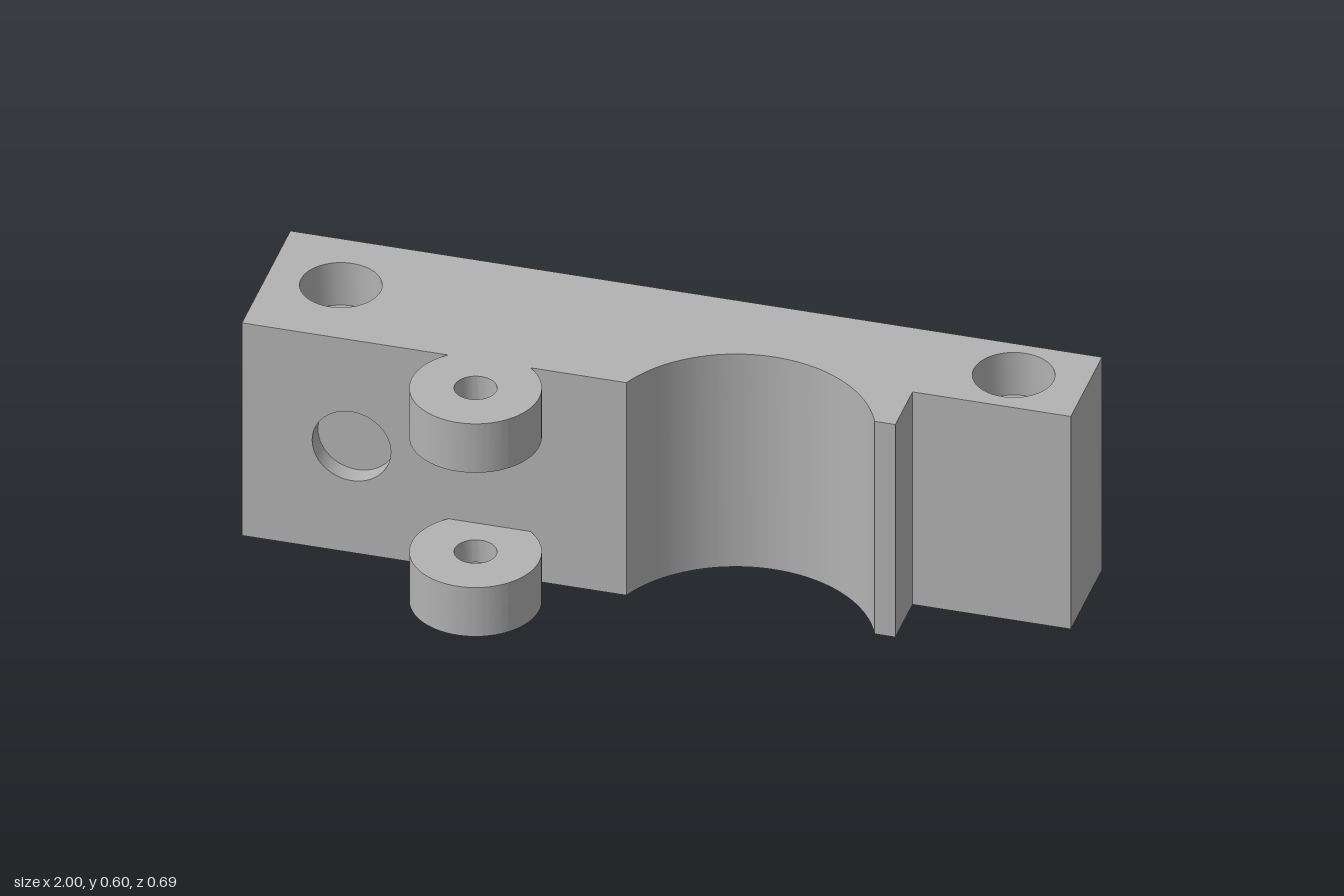
import * as THREE from 'three';
import { toCreasedNormals } from 'three/addons/utils/BufferGeometryUtils.js';

const H = 0.6, BACK = -0.347, FRONT = 0.07, STEP = -0.078;
const BORE_DEPTH = 0.12, POCKET = 0.05, POCKET_EDGE = -0.6;
const LUG = { x: -0.39, z: 0.19, r: 0.157, h: 0.138 };
const SCREWS = [[-0.82, -0.153], [0.82, -0.215]];

// Adds a circular hole (or a polygon when sides is given) to a shape
function addHole(shape, x, y, r, sides = 48) {
  const pts = [];
  for (let i = 0; i < sides; i++) {
    const a = -i / sides * Math.PI * 2;
    pts.push(new THREE.Vector2(x + r * Math.cos(a), y + r * Math.sin(a)));
  }
  shape.holes.push(new THREE.Path(pts));
}

function extrude(shape, depth) {
  return new THREE.ExtrudeGeometry(shape, { depth, bevelEnabled: false, curveSegments: 48 });
}

// Plan outlines are drawn with shape y = -z and raised from y0 to y1
function slab(name, shape, y0, y1, material) {
  const g = extrude(shape, y1 - y0).rotateX(-Math.PI / 2).translate(0, y0, 0);
  const mesh = new THREE.Mesh(toCreasedNormals(g, 0.5), material);
  mesh.name = name;
  return mesh;
}

// Stepped block outline with the round saddle and a gap for the pocket plate
function bodyShape(holeRadius) {
  const cx = 0.253, cz = 0.197, r = 0.331;
  const a = Math.asin((cz - FRONT) / r);
  const s = new THREE.Shape();
  s.moveTo(-1, -BACK);
  s.lineTo(-1, POCKET - FRONT);
  s.lineTo(POCKET_EDGE, POCKET - FRONT);
  s.lineTo(POCKET_EDGE, -FRONT);
  s.lineTo(cx - r * Math.cos(a), -FRONT);
  s.absarc(cx, -cz, r, Math.PI - a, a, true);
  s.lineTo(0.61, -FRONT);
  s.lineTo(0.61, -STEP);
  s.lineTo(1, -STEP);
  s.lineTo(1, -BACK);
  for (const [x, z] of SCREWS) addHole(s, x, -z, holeRadius);
  return s;
}

// Round hinge lug cut flat where it meets the block
function lugShape(holeRadius, sides) {
  const a = Math.asin((LUG.z - FRONT) / LUG.r);
  const s = new THREE.Shape();
  s.absarc(LUG.x, -LUG.z, LUG.r, Math.PI - a, Math.PI * 2 + a, false);
  s.closePath();
  addHole(s, LUG.x, -LUG.z, holeRadius, sides);
  return s;
}

export function createModel() {
  const grey = new THREE.MeshStandardMaterial({ color: 0xb2b2b2 });
  grey.name = 'grey';
  const model = new THREE.Group();
  model.name = 'clampBlock';

  // Block: narrow screw holes below, wide counterbores above
  const body = new THREE.Group();
  body.name = 'body';
  body.add(
    slab('bodyLower', bodyShape(0.054), 0, H - BORE_DEPTH, grey),
    slab('bodyCounterbored', bodyShape(0.098), H - BORE_DEPTH, H, grey));

  // Front plate holding the shallow round pocket
  const plate = new THREE.Shape();
  plate.moveTo(-1, 0);
  plate.lineTo(POCKET_EDGE, 0);
  plate.lineTo(POCKET_EDGE, H);
  plate.lineTo(-1, H);
  plate.closePath();
  addHole(plate, -0.73, 0.3, 0.097);
  const pocket = new THREE.Mesh(
    toCreasedNormals(extrude(plate, POCKET).translate(0, 0, FRONT - POCKET), 0.5), grey);
  pocket.name = 'frontPocket';
  body.add(pocket);
  model.add(body);

  // Hinge lugs: the lower one has a hexagonal nut recess underneath
  const lugs = new THREE.Group();
  lugs.name = 'hingeLugs';
  lugs.add(
    slab('upperLug', lugShape(0.051), H - LUG.h, H, grey),
    slab('lowerLugNutRecess', lugShape(0.094, 6), 0, 0.075, grey),
    slab('lowerLug', lugShape(0.051), 0.075, LUG.h, grey));
  model.add(lugs);
  return model;
}
